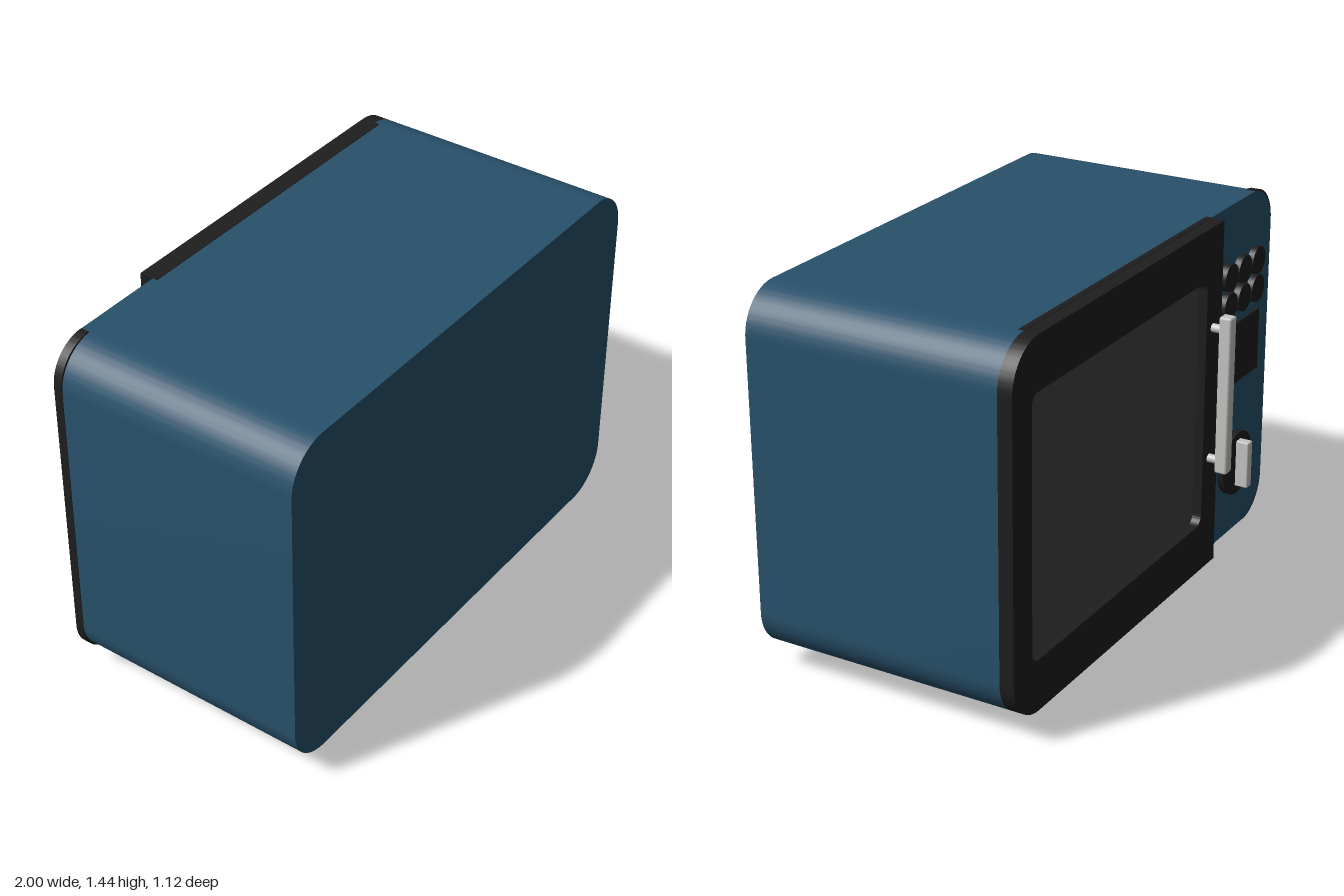
import * as THREE from 'three';
import { toCreasedNormals } from 'three/addons/utils/BufferGeometryUtils.js';
import { RoundedBoxGeometry } from 'three/addons/geometries/RoundedBoxGeometry.js';

// Rectangle with separate corner radii on the -x side (rl) and +x side (rr)
function panel(x0, x1, y0, y1, rl, rr, Type = THREE.Shape) {
  const s = new Type(), q = Math.PI / 2;
  s.moveTo(x0 + rl, y0);
  s.lineTo(x1 - rr, y0);
  if (rr) s.absarc(x1 - rr, y0 + rr, rr, -q, 0, false);
  s.lineTo(x1, y1 - rr);
  if (rr) s.absarc(x1 - rr, y1 - rr, rr, 0, q, false);
  s.lineTo(x0 + rl, y1);
  if (rl) s.absarc(x0 + rl, y1 - rl, rl, q, 2 * q, false);
  s.lineTo(x0, y0 + rl);
  if (rl) s.absarc(x0 + rl, y0 + rl, rl, 2 * q, 3 * q, false);
  return s;
}

// Extrude a shape between two z values, smooth round the corners
function slab(shape, z0, z1) {
  const g = new THREE.ExtrudeGeometry(shape, { depth: z1 - z0, bevelEnabled: false, curveSegments: 16 });
  g.translate(0, 0, z0);
  return toCreasedNormals(g, 0.6);
}

export function createModel() {
  const model = new THREE.Group();
  model.name = 'microwaveOven';
  const mat = (name, color) => {
    const m = new THREE.MeshStandardMaterial({ color });
    m.name = name;
    return m;
  };
  const blue = mat('blueEnamel', 0x28516b);
  const black = mat('blackPlastic', 0x1e1e1e);
  const glass = mat('greyGlass', 0x404040);
  const metal = mat('lightMetal', 0xc6c6c4);
  const footGrey = mat('warmGrey', 0xb4aea2);

  const add = (name, geo, material, x = 0, y = 0, z = 0) => {
    const m = new THREE.Mesh(geo, material);
    m.name = name;
    m.position.set(x, y, z);
    model.add(m);
    return m;
  };
  const disc = (r, len) => new THREE.CylinderGeometry(r, r, len, 32).rotateX(Math.PI / 2);

  const Y0 = 0.075, Y1 = 1.435, R = 0.165;

  // Cabinet
  add('body', slab(panel(-1, 1, Y0, Y1, R, R), -0.42, 0.56), blue);

  // Dark trim wrapped round the edge beside the controls
  add('sideTrim', slab(panel(-1.002, -0.85, Y0 - 0.002, Y1 + 0.002, 0.15, 0), -0.419, -0.385), black);

  // Door frame with a recessed window
  const door = panel(-0.48, 1, Y0, Y1, 0, R);
  door.holes.push(panel(-0.36, 0.88, 0.27, 1.24, 0.04, 0.04, THREE.Path));
  add('doorFrame', slab(door, -0.475, -0.42), black);
  add('window', new THREE.BoxGeometry(1.24, 0.97, 0.008), glass, 0.26, 0.755, -0.436);
  for (const y of [Y0, Y1])
    add('doorLip', new THREE.BoxGeometry(1.315, 0.004, 0.022), black, 0.1775, y, -0.411);

  // Door handle
  add('handleBar', new RoundedBoxGeometry(0.05, 0.62, 0.05, 1, 0.008), metal, -0.41, 0.79, -0.535);
  for (const y of [0.525, 1.045])
    add('handlePost', disc(0.0165, 0.05), metal, -0.41, y, -0.495);

  // Control panel: six buttons, display and dial
  for (const x of [-0.625, -0.741, -0.857])
    for (const y of [1.165, 1.052])
      add('button', disc(0.054, 0.025), black, x, y, -0.4325);
  add('display', new THREE.BoxGeometry(0.335, 0.245, 0.009), black, -0.742, 0.83, -0.4245);
  add('dial', disc(0.128, 0.025), black, -0.732, 0.372, -0.4325);
  add('dialGrip', new RoundedBoxGeometry(0.04, 0.19, 0.055, 1, 0.005), metal, -0.732, 0.375, -0.469);

  // Flared feet
  for (const x of [-0.605, 0.605])
    for (const z of [-0.27, 0.39])
      add('foot', new THREE.CylinderGeometry(0.074, 0.108, 0.08, 32), footGrey, x, 0.04, z);

  return model;
}
